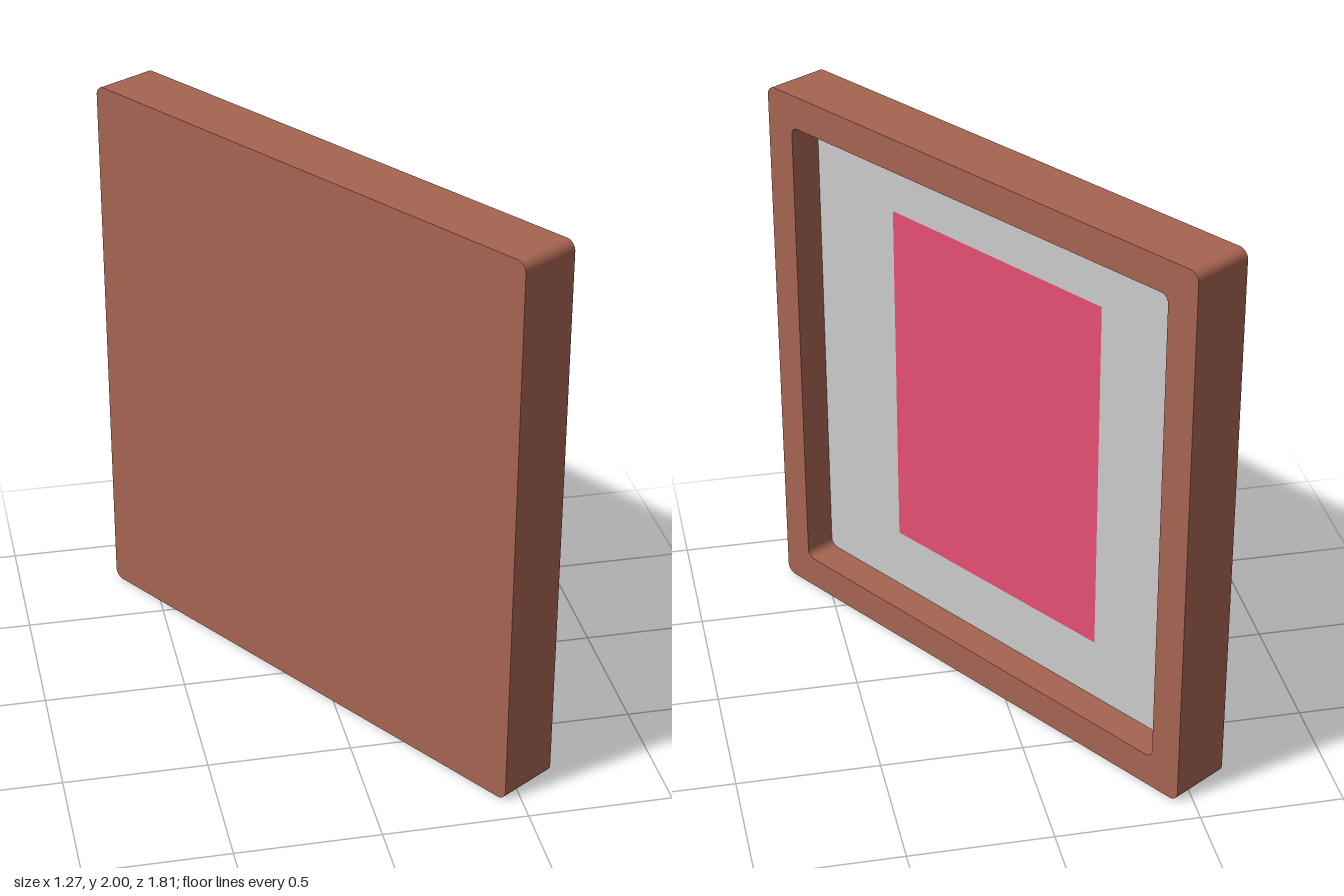
import * as THREE from 'three';

const SIZE = 2, DEPTH = 0.226, RIM = 0.12, RECESS = 0.12;

// Square outline with rounded corners, centred on the origin
function roundedSquare(PathType, size, r) {
  const h = size / 2, c = h - r;
  const path = new PathType();
  path.moveTo(-c, -h);
  path.lineTo(c, -h);
  path.absarc(c, -c, r, -Math.PI / 2, 0);
  path.lineTo(h, c);
  path.absarc(c, c, r, 0, Math.PI / 2);
  path.lineTo(-c, h);
  path.absarc(-c, c, r, Math.PI / 2, Math.PI);
  path.lineTo(-h, -c);
  path.absarc(-c, -c, r, Math.PI, Math.PI * 1.5);
  return path;
}

export function createModel() {
  const wood = new THREE.MeshStandardMaterial({ color: 0xa76451 });
  const grey = new THREE.MeshStandardMaterial({ color: 0xcccccc });
  const pink = new THREE.MeshStandardMaterial({ color: 0xe65074 });

  const model = new THREE.Group();
  model.name = 'pictureFrame';

  const add = (name, geometry, material, z) => {
    const mesh = new THREE.Mesh(geometry, material);
    mesh.name = name;
    mesh.position.set(0, SIZE / 2, z);
    model.add(mesh);
  };
  const extrude = (shape, depth) =>
    new THREE.ExtrudeGeometry(shape, { depth, bevelEnabled: false, curveSegments: 5 });

  const floorZ = DEPTH / 2 - RECESS;

  // Raised rim around the recess
  const rim = roundedSquare(THREE.Shape, SIZE, 0.035);
  rim.holes.push(roundedSquare(THREE.Path, SIZE - 2 * RIM, 0.03));
  add('rim', extrude(rim, RECESS), wood, floorZ);

  // Solid backing behind the recess
  add('backing', extrude(roundedSquare(THREE.Shape, SIZE, 0.035), DEPTH - RECESS), wood, -DEPTH / 2);

  // Mount and picture lying on the recess floor
  add('mount', new THREE.ShapeGeometry(roundedSquare(THREE.Shape, SIZE - 2 * RIM, 0.03), 5), grey, floorZ + 0.002);
  add('picture', new THREE.PlaneGeometry(0.99, 1.305), pink, floorZ + 0.005);

  // The frame stands turned about its vertical axis
  model.rotation.y = Math.atan2(0.842, -0.54);
  const root = new THREE.Group();
  root.add(model);
  return root;
}
